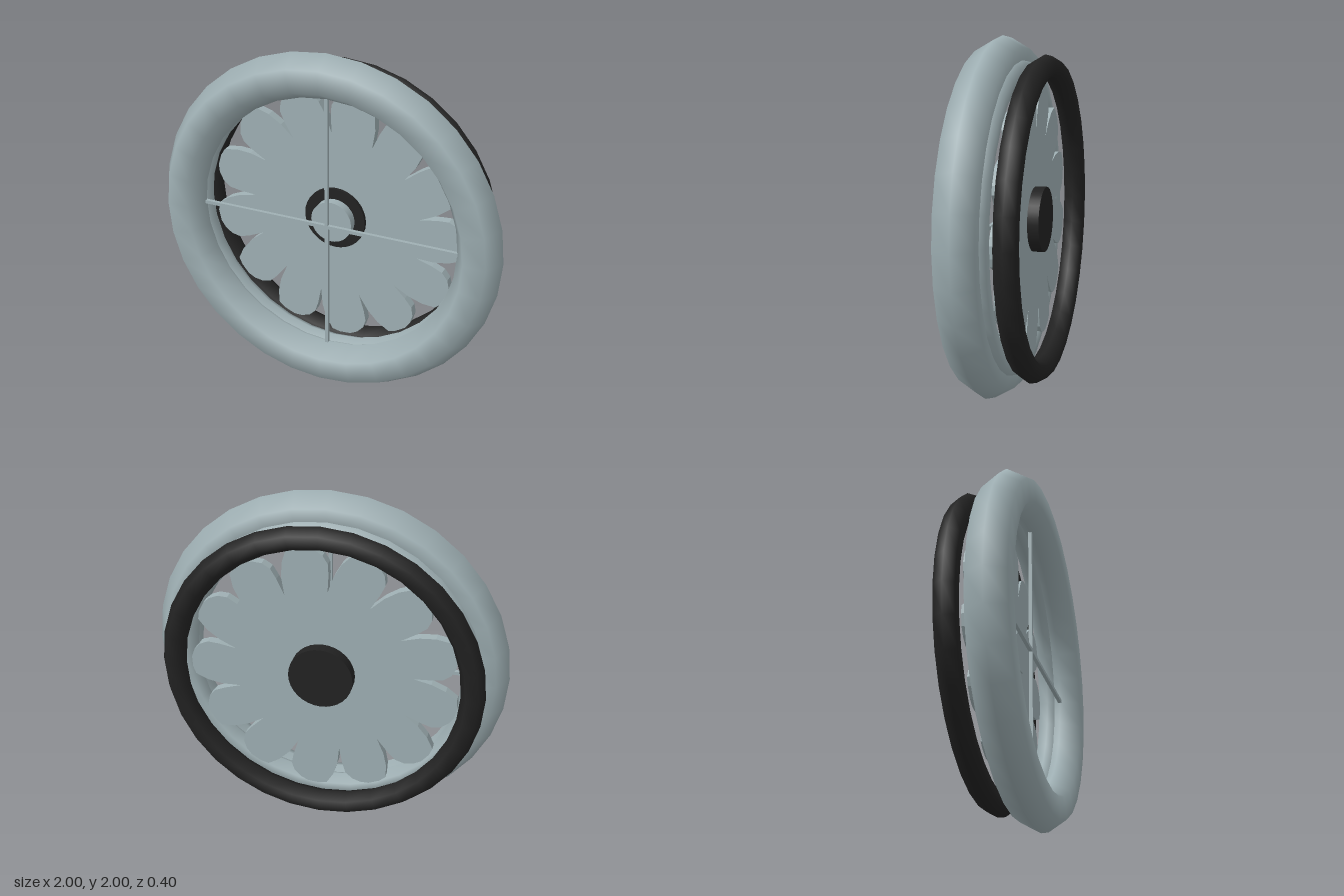
import * as THREE from 'three';

const steel = new THREE.MeshStandardMaterial({ color: 0x9fb0b4 });
steel.name = 'pale steel';
const rubber = new THREE.MeshStandardMaterial({ color: 0x222222 });
rubber.name = 'black rubber';

function add(group, name, geometry, material, z) {
  const mesh = new THREE.Mesh(geometry, material);
  mesh.name = name;
  mesh.position.z = z;
  group.add(mesh);
  return mesh;
}

// Six-sided ring facing the front
const ring = (radius, tube) => new THREE.TorusGeometry(radius, tube, 6, 32);

// Short round disc whose axis runs along z
const disc = (radius, depth) =>
  new THREE.CylinderGeometry(radius, radius, depth, 32).rotateX(Math.PI / 2);

// Fan of slightly lopsided petals, cut from one plate
function fanGeometry(depth) {
  const petals = 13;
  // [radius, degrees after the notch] along one petal, clockwise
  const petal = [
    [0.5, 0], [0.6, 0], [0.665, 0.6], [0.71, 3], [0.74, 6.5],
    [0.755, 10], [0.755, 15], [0.745, 18.5], [0.68, 22], [0.6, 25],
  ];
  const points = [];
  for (let i = 0; i < petals; i++) {
    for (const [r, turn] of petal) {
      const a = THREE.MathUtils.degToRad(93 - (i * 360) / petals - turn);
      points.push(new THREE.Vector2(r * Math.cos(a), r * Math.sin(a)));
    }
  }
  return new THREE.ExtrudeGeometry(new THREE.Shape(points), { depth, bevelEnabled: false });
}

export function createModel() {
  const model = new THREE.Group();
  model.name = 'fanWheel';
  const wheel = new THREE.Group();
  wheel.name = 'wheel';
  wheel.position.y = 1;
  model.add(wheel);

  // Rings from front to back
  add(wheel, 'frontRing', ring(0.875, 0.125), steel, 0.092);
  add(wheel, 'middleRing', ring(0.817, 0.067), steel, 0.013);
  add(wheel, 'backRing', ring(0.833, 0.067), rubber, -0.142);

  // Fan plate and its hub
  add(wheel, 'fan', fanGeometry(0.052), steel, -0.087);
  add(wheel, 'hub', disc(0.18, 0.135), rubber, -0.0825);
  add(wheel, 'hubCap', disc(0.12, 0.06), steel, 0.005);

  // Crossed guard bars
  add(wheel, 'verticalBar', new THREE.BoxGeometry(0.02, 1.52, 0.02), steel, 0.09);
  add(wheel, 'horizontalBar', new THREE.BoxGeometry(1.52, 0.02, 0.02), steel, 0.09);

  return model;
}
